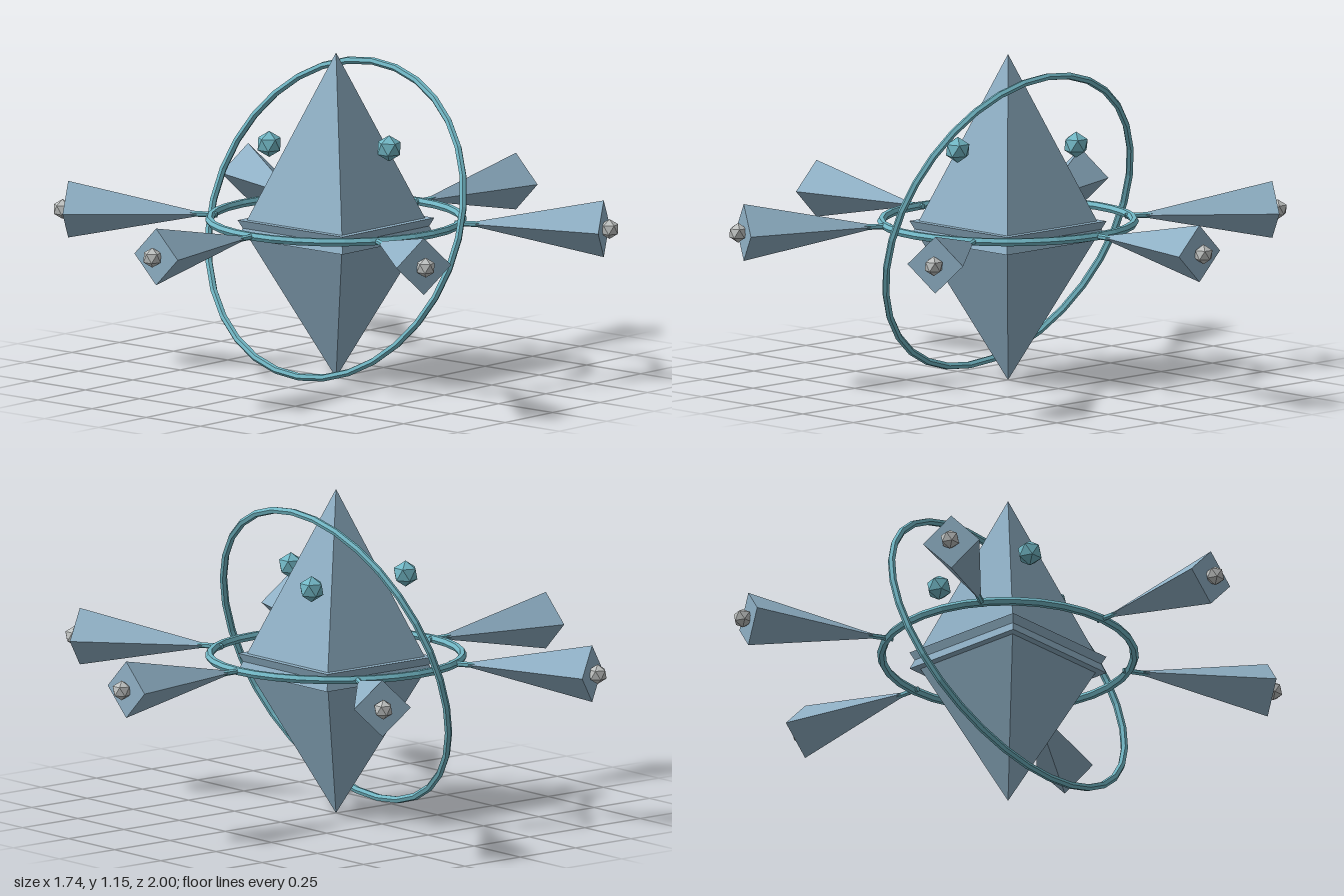
import * as THREE from 'three';

const CENTRE_Y = 0.56;

function makeMaterial(name, color) {
  const m = new THREE.MeshStandardMaterial({ color, flatShading: true });
  m.name = name;
  return m;
}

export function createModel() {
  const model = new THREE.Group();
  model.name = 'crystalStation';

  const steel = makeMaterial('steelBlue', 0x8fb0c5);
  const cyan = makeMaterial('cyan', 0x72b8c6);
  const pale = makeMaterial('paleGrey', 0xc0c3c2);

  function add(parent, name, geometry, material, x = 0, y = 0, z = 0) {
    const mesh = new THREE.Mesh(geometry, material);
    mesh.name = name;
    mesh.position.set(x, y, z);
    parent.add(mesh);
    return mesh;
  }

  // Twenty-sided ball with a corner pointing straight up
  const ball = (r) => new THREE.IcosahedronGeometry(r, 0)
    .rotateX(-Math.atan((1 + Math.sqrt(5)) / 2));

  // Core: two square pyramids that overlap around the middle
  const pyramid = (halfWidth, height) =>
    new THREE.ConeGeometry(halfWidth * Math.SQRT2, height, 4).rotateY(Math.PI / 4);
  add(model, 'upperPyramid', pyramid(0.242, 0.65), steel, 0, 0.498 + 0.325, 0);
  add(model, 'lowerPyramid', pyramid(0.242, 0.56).rotateX(Math.PI), steel, 0, 0.28, 0);

  // Level ring and larger tilted ring
  const level = add(model, 'levelRing',
    new THREE.TorusGeometry(0.44, 0.015, 6, 32), cyan, 0, CENTRE_Y, 0);
  level.rotation.x = Math.PI / 2;
  const tilted = add(model, 'tiltedRing',
    new THREE.TorusGeometry(0.565, 0.013, 6, 32), cyan, 0, CENTRE_Y, 0);
  tilted.rotation.x = THREE.MathUtils.degToRad(-20);

  // Six arms: a rod, a flaring four-sided spike and a tip ball
  const spikeGeo = new THREE.ConeGeometry(0.1, 0.5, 4).rotateX(-Math.PI / 2);
  const rodGeo = new THREE.CylinderGeometry(0.01, 0.01, 0.12, 6).rotateX(Math.PI / 2);
  const tipGeo = ball(0.035);
  for (let i = 0; i < 6; i++) {
    const a = (i * Math.PI) / 3;
    const arm = new THREE.Group();
    arm.name = 'arm' + (i + 1);
    arm.position.y = CENTRE_Y;
    arm.rotation.y = a;
    add(arm, 'rod', rodGeo, cyan, 0, 0, 0.48);
    add(arm, 'spike', spikeGeo, steel, 0, 0, 0.698);
    model.add(arm);
    add(model, 'tipBall', tipGeo, pale, Math.sin(a) * 0.968, CENTRE_Y, Math.cos(a) * 0.968);
  }

  // Three orbs floating around the upper pyramid
  const orbGeo = ball(0.046);
  for (let i = 0; i < 3; i++) {
    const a = (i * Math.PI * 2) / 3;
    add(model, 'orb', orbGeo, cyan, Math.cos(a) * 0.245, 0.84, Math.sin(a) * 0.245);
  }

  return model;
}
